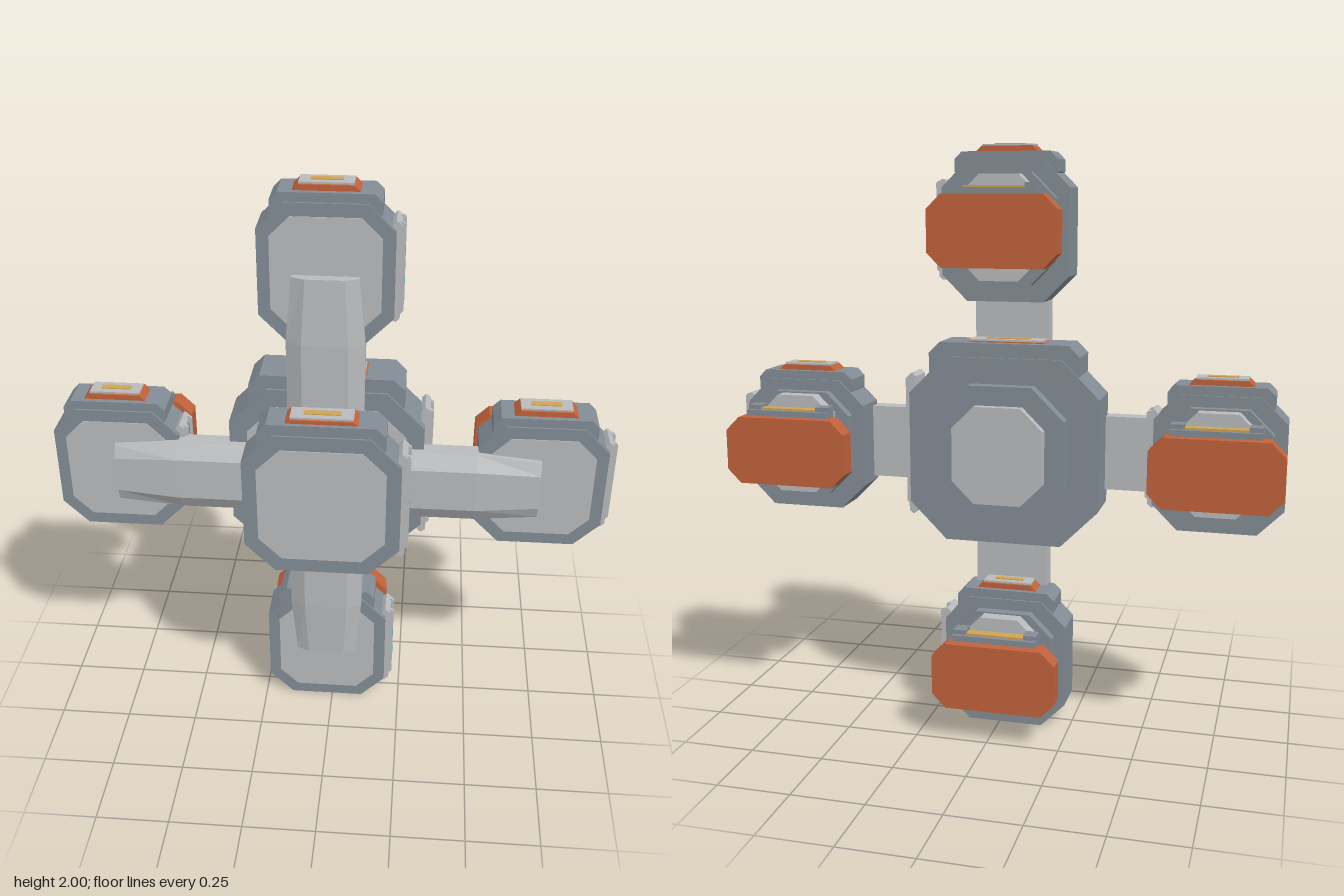
import * as THREE from 'three';

const material = (name, color) => {
  const m = new THREE.MeshStandardMaterial({ color });
  m.name = name;
  return m;
};
const light = material('light grey', 0xb9bbbd);
const mid = material('steel grey', 0x838d95);
const orange = material('rust orange', 0xc2623b);
const cyan = material('cyan glow', 0x35b6d0);
const tan = material('tan', 0xd0a352);

function add(parent, name, geometry, mat, x = 0, y = 0, z = 0) {
  const mesh = new THREE.Mesh(geometry, mat);
  mesh.name = name;
  mesh.position.set(x, y, z);
  parent.add(mesh);
  return mesh;
}
const box = (w, h, d) => new THREE.BoxGeometry(w, h, d);

// Extruded rectangle with cut corners, centred on the origin; b = bottom cut, t = top cut
function octagon(w, h, d, b, t = b) {
  const x = w / 2, y = h / 2;
  const s = new THREE.Shape([
    [-x + b, -y], [x - b, -y], [x, -y + b], [x, y - t],
    [x - t, y], [-x + t, y], [-x, y - t], [-x, -y + b],
  ].map(p => new THREE.Vector2(...p)));
  const g = new THREE.ExtrudeGeometry(s, { depth: d, bevelEnabled: false });
  return g.translate(0, 0, -d / 2);
}

// Raised crown on top of a module
function addCrown(g, s, h, d) {
  const top = h / 2;
  add(g, 'crownBase', octagon(0.345 * s, 0.07 * s, d * 0.9, 0.005, 0.025 * s), mid, 0, top - 0.005, 0);
  const shape = new THREE.Shape([[-0.11, -0.02], [0.11, -0.02], [0.11, 0.0], [0.085, 0.023], [-0.085, 0.023], [-0.11, 0.0]]
    .map(p => new THREE.Vector2(p[0] * s, p[1])));
  const cap = new THREE.ExtrudeGeometry(shape, { depth: 0.088, bevelEnabled: false });
  add(g, 'crownCap', cap.translate(0, 0, -0.044), orange, 0, top + 0.02 + 0.005 * s, 0);
  add(g, 'crownPlate', box(0.17 * s, 0.008, 0.07), light, 0, top + 0.045 + 0.005 * s, 0);
  add(g, 'crownStripe', box(0.1 * s, 0.004, 0.025), tan, 0, top + 0.05 + 0.005 * s, 0);
}

// Side instrument panel on the +x face
function addSidePanel(g, s, w) {
  const p = new THREE.Group();
  p.name = 'sidePanel';
  p.position.set(w / 2, 0.005, 0);
  g.add(p);
  add(p, 'panelBase', octagon(0.03, 0.33 * s, 0.1, 0.012), light, 0.002, 0, 0);
  add(p, 'panelChannel', box(0.006, 0.28 * s, 0.06), mid, 0.017, -0.005, 0);
  for (const side of [-1, 1])
    add(p, 'panelRail', octagon(0.03, 0.3 * s, 0.014, 0.008), light, 0.013, 0.01, side * 0.032);
  add(p, 'panelLight', box(0.008, 0.16 * s, 0.034), cyan, 0.024, 0.005 * s, 0);
  add(p, 'panelTip', box(0.008, 0.045 * s, 0.024), orange, 0.023, -0.105 * s, 0);
}

// Octagonal module shared by the pods and the hub
function makeModule(name, s, w, h, d) {
  const g = new THREE.Group();
  g.name = name;
  add(g, 'body', octagon(w, h, d, 0.085 * s), mid);
  add(g, 'facePlate', octagon(w - 0.08 * s, h - 0.085 * s, 0.006, 0.065 * s), light, 0, 0, d / 2);
  addCrown(g, s, h, d);
  addSidePanel(g, s, w);
  return g;
}

// Outer pod with rear thruster block
function makePod(name) {
  const g = makeModule(name, 1, 0.43, 0.455, 0.14);
  add(g, 'rearStep', octagon(0.35, 0.36, 0.04, 0.08), mid, 0, 0.01, -0.085);
  add(g, 'rearPlate', octagon(0.25, 0.34, 0.05, 0.06), light, 0, 0.015, -0.128);
  add(g, 'rearStrut', octagon(0.35, 0.08, 0.14, 0.015), mid, 0, 0.01, -0.14);
  add(g, 'rearSlab', octagon(0.425, 0.23, 0.068, 0.047), orange, -0.005, 0.007, -0.231);
  add(g, 'rearRail', box(0.29, 0.03, 0.065), mid, 0, 0.127, -0.197);
  add(g, 'railStripe', box(0.2, 0.008, 0.035), tan, 0, 0.144, -0.197);
  for (const side of [-1, 1])
    add(g, 'railClamp', box(0.045, 0.024, 0.05), mid, side * 0.122, 0.145, -0.19);
  return g;
}

// Bevelled beam along y, narrowing near both ends
function makeBeam() {
  const rings = [[-0.74, 0.84, 0.107], [-0.52, 1, 0.12], [0.52, 1, 0.12], [0.74, 0.84, 0.107]];
  const pos = [], idx = [];
  const section = (k, f) => [
    [-0.127 * k, 0.03], [0.127 * k, 0.03], [0.127 * k, 0.09],
    [0.075 * k, f], [-0.075 * k, f], [-0.127 * k, 0.09],
  ];
  for (const [y, k, f] of rings)
    for (const [x, z] of section(k, f)) pos.push(x, y, z);
  for (let r = 0; r < 3; r++)
    for (let i = 0; i < 6; i++) {
      const a = r * 6 + i, b = r * 6 + (i + 1) % 6;
      idx.push(a, a + 6, b, b, a + 6, b + 6);
    }
  for (let i = 1; i < 5; i++) idx.push(0, i, i + 1, 18, 18 + i + 1, 18 + i);
  const g = new THREE.BufferGeometry();
  g.setAttribute('position', new THREE.Float32BufferAttribute(pos, 3));
  g.setIndex(idx);
  const flat = g.toNonIndexed();
  flat.computeVertexNormals();
  return flat;
}

export function createModel() {
  const model = new THREE.Group();
  model.name = 'crossStation';
  const cx = -0.02, cy = 0.975;

  // Four outer pods
  const pods = [
    ['topPod', cx, 1.718], ['bottomPod', cx, 0.228],
    ['leftPod', 0.705, cy], ['rightPod', -0.737, cy],
  ];
  for (const [name, x, y] of pods) {
    const pod = makePod(name);
    pod.position.set(x, y, 0);
    model.add(pod);
  }

  // Crossed beams
  add(model, 'verticalBeam', makeBeam(), light, cx, cy, 0);
  const across = add(model, 'horizontalBeam', makeBeam(), light, cx, cy, 0);
  across.rotation.z = Math.PI / 2;
  across.scale.y = 0.973;
  add(model, 'beamJoint', octagon(0.24, 0.24, 0.08, 0.06), mid, cx, cy, 0.1);

  // Large rear hub with stepped back
  const hub = makeModule('rearHub', 1.5, 0.655, 0.635, 0.17);
  hub.position.set(cx, 0.988, -0.018);
  add(hub, 'hubStep', octagon(0.44, 0.46, 0.05, 0.11), mid, 0, 0, -0.11);
  add(hub, 'hubPlate', octagon(0.31, 0.33, 0.04, 0.075), light, 0, 0, -0.145);
  model.add(hub);

  // Front module ahead of the beams
  const front = makeModule('frontModule', 1.2, 0.52, 0.525, 0.13);
  front.position.set(cx, 0.983, 0.2);
  add(front, 'frontBackPlate', octagon(0.34, 0.36, 0.03, 0.08), light, 0, 0, -0.07);
  model.add(front);

  return model;
}
